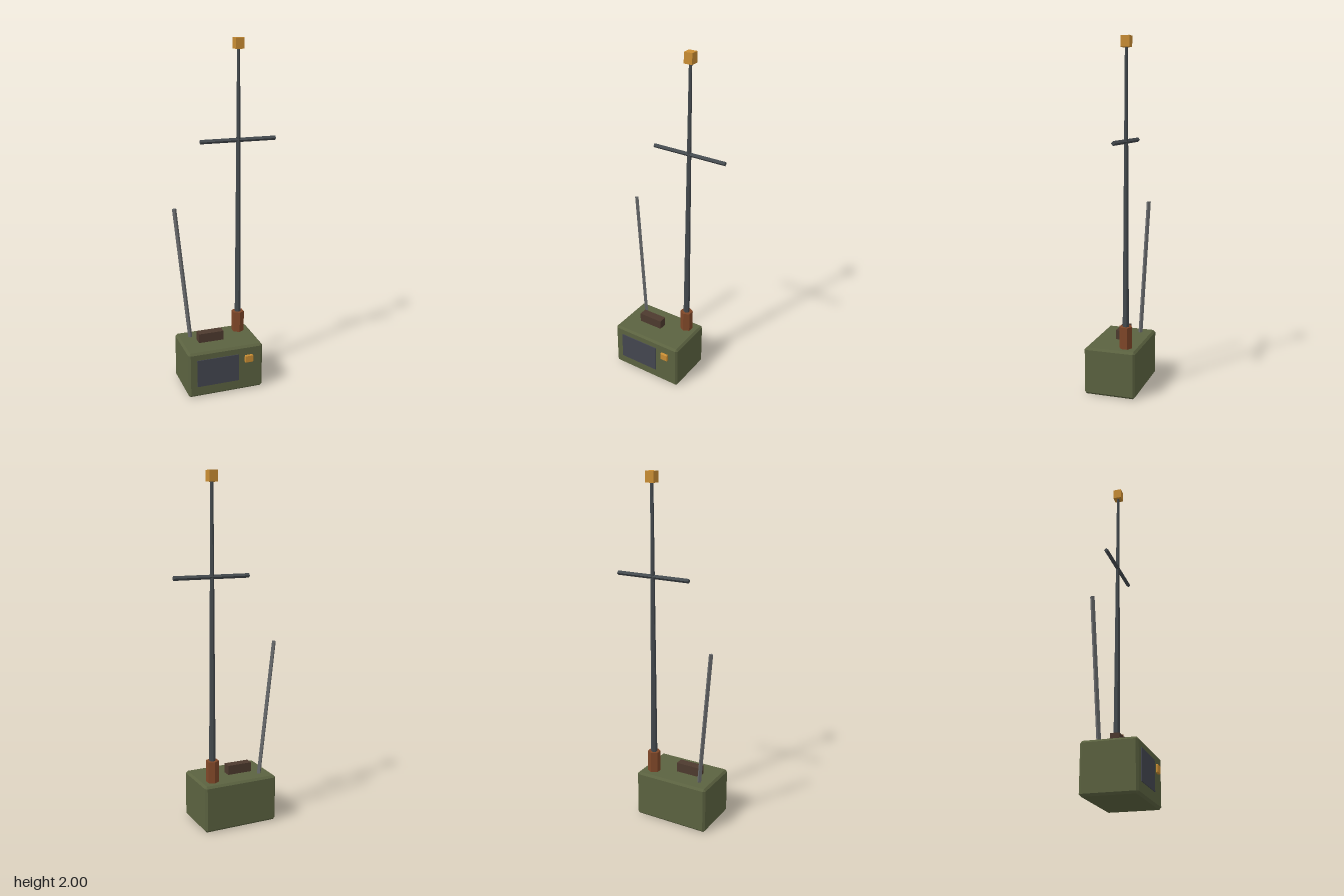
import * as THREE from 'three';
import { ConvexGeometry } from 'three/addons/geometries/ConvexGeometry.js';

const paint = (name, color) => {
  const m = new THREE.MeshStandardMaterial({ color });
  m.name = name;
  return m;
};

// Box with all edges and corners cut flat
function chamferBox(w, h, d, c) {
  const pts = [];
  for (const x of [-1, 1]) for (const y of [-1, 1]) for (const z of [-1, 1]) {
    const a = x * w / 2, b = y * h / 2, e = z * d / 2;
    pts.push(
      new THREE.Vector3(a, b - y * c, e - z * c),
      new THREE.Vector3(a - x * c, b, e - z * c),
      new THREE.Vector3(a - x * c, b - y * c, e));
  }
  return new ConvexGeometry(pts);
}

export function createModel() {
  const model = new THREE.Group();
  model.name = 'fieldRadio';

  const olive = paint('olive casing', 0x5b6240);
  const slate = paint('slate screen', 0x43464f);
  const steel = paint('dark steel', 0x444a4e);
  const grey = paint('grey whip', 0x686a6c);
  const rust = paint('rust collar', 0x7f4728);
  const brown = paint('brown handle', 0x4d3a2e);
  const amber = paint('amber', 0xc98d33);

  const add = (name, geometry, material, x, y, z) => {
    const mesh = new THREE.Mesh(geometry, material);
    mesh.name = name;
    mesh.position.set(x, y, z);
    model.add(mesh);
    return mesh;
  };
  // Faceted rod: flat normals baked into the geometry
  const rod = (rTop, rBottom, length, sides) => {
    const g = new THREE.CylinderGeometry(rTop, rBottom, length, sides).toNonIndexed();
    g.computeVertexNormals();
    return g;
  };

  // Casing and its fittings
  add('casing', chamferBox(0.45, 0.275, 0.3, 0.012), olive, -0.07, 0.1375, -0.0075);
  add('screen', new THREE.BoxGeometry(0.25, 0.165, 0.009), slate, -0.12, 0.1475, 0.1425);
  add('knob', chamferBox(0.05, 0.046, 0.03, 0.004), amber, 0.068, 0.195, 0.14);
  add('handle', new THREE.BoxGeometry(0.15, 0.06, 0.051), brown, -0.12, 0.3, -0.0075);

  // Tall mast with collar, crossbar and tip
  const mx = 0.08, mz = -0.0825;
  add('mastCollar', rod(0.0375, 0.0375, 0.13, 6), rust, mx, 0.335, mz);
  add('mast', rod(0.0085, 0.0185, 1.58, 6), steel, mx, 1.17, mz);
  add('mastTip', new THREE.BoxGeometry(0.05, 0.06, 0.05), amber, mx, 1.97, mz);
  add('crossbar', rod(0.0125, 0.0125, 0.45, 4), steel, mx, 1.44, mz).rotation.z = Math.PI / 2;

  // Leaning whip antenna
  const foot = new THREE.Vector3(-0.218, 0.25, -0.081);
  const end = new THREE.Vector3(-0.295, 1.065, -0.107);
  const lean = end.clone().sub(foot);
  const mid = foot.clone().add(end).multiplyScalar(0.5);
  add('whipAntenna', rod(0.0125, 0.0125, lean.length(), 4), grey, mid.x, mid.y, mid.z)
    .quaternion.setFromUnitVectors(new THREE.Vector3(0, 1, 0), lean.normalize());

  return model;
}
